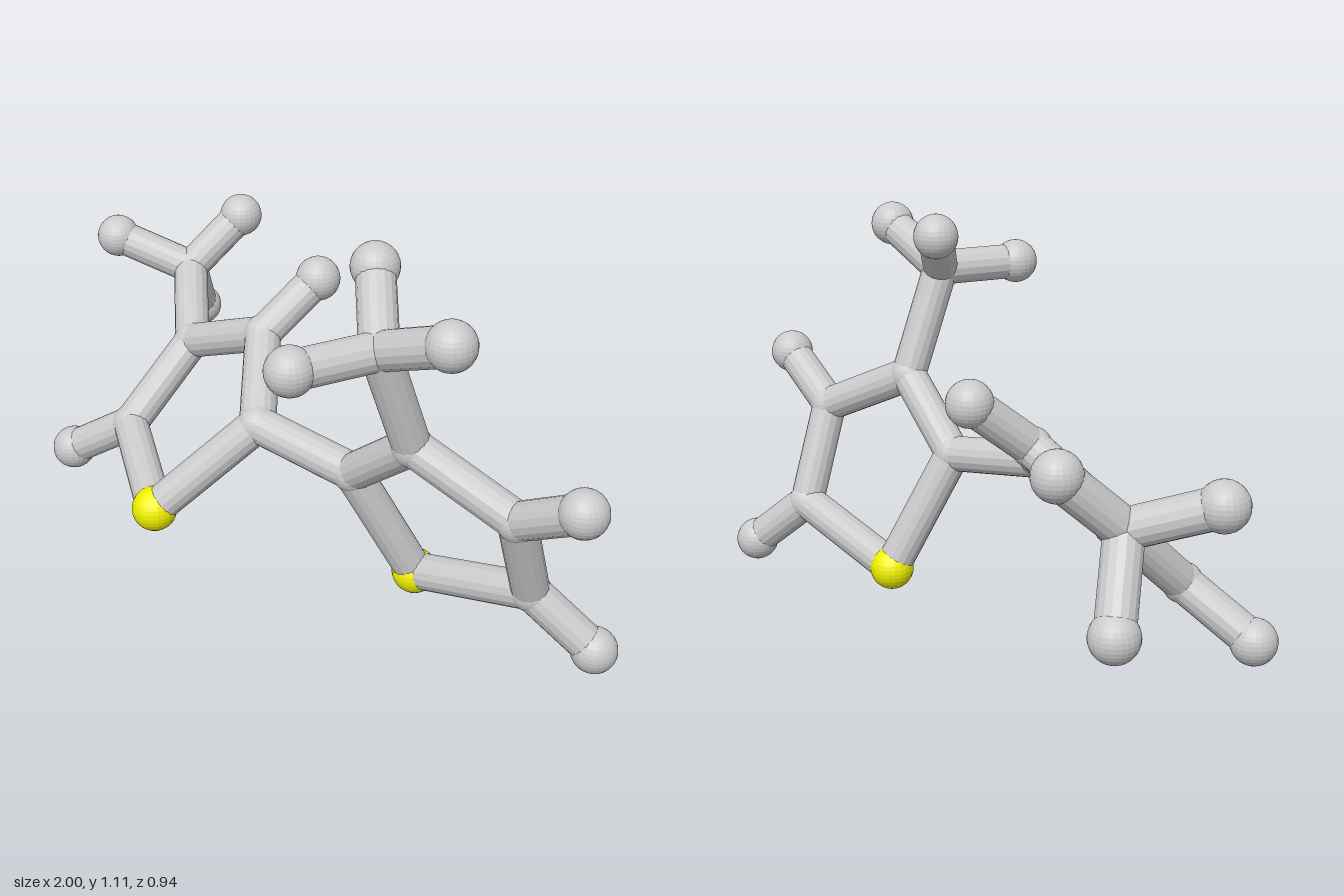
import * as THREE from 'three';

const ATOM_RADIUS = { hydrogen: 0.062, carbon: 0.054, sulfur: 0.062 };
const BOND_RADIUS = 0.05;

// Atom centres; the two rings are joined by the bond between linkA and linkB
const atoms = {
  // ring A, on the right
  linkA: ['carbon', -0.05, 0.485, 0.12],
  sulfurA: ['sulfur', -0.23, 0.235, 0.34],
  lowerA: ['carbon', -0.565, 0.285, 0.145],
  outerA: ['carbon', -0.53, 0.49, -0.07],
  upperA: ['carbon', -0.24, 0.615, -0.08],
  upperTipA: ['hydrogen', -0.185, 0.75, -0.24],
  lowerTipA: ['hydrogen', -0.745, 0.16, 0.22],
  methylA: ['carbon', -0.75, 0.59, -0.26],
  methylTipA1: ['hydrogen', -0.94, 0.67, -0.14],
  methylTipA2: ['hydrogen', -0.685, 0.735, -0.41],
  methylTipA3: ['hydrogen', -0.845, 0.39, -0.38],
  // ring B, on the left
  linkB: ['carbon', 0.245, 0.44, 0.06],
  sulfurB: ['sulfur', 0.34, 0.105, -0.09],
  lowerB: ['carbon', 0.71, 0.21, -0.12],
  outerB: ['carbon', 0.735, 0.485, -0.01],
  upperB: ['carbon', 0.465, 0.62, 0.08],
  outerTipB: ['hydrogen', 0.935, 0.605, 0],
  lowerTipB: ['hydrogen', 0.865, 0.065, -0.2],
  methylB: ['carbon', 0.45, 0.92, 0.19],
  methylTipB1: ['hydrogen', 0.31, 1.05, 0.06],
  methylTipB2: ['hydrogen', 0.67, 1.015, 0.19],
  methylTipB3: ['hydrogen', 0.375, 0.92, 0.41],
};

const bonds = [
  ['linkA', 'linkB'],
  ['outerA', 'methylA'], ['upperA', 'upperTipA'],
  ['upperB', 'methylB'], ['outerB', 'outerTipB'],
];
for (const s of ['A', 'B']) {
  const ring = ['link', 'sulfur', 'lower', 'outer', 'upper'];
  ring.forEach((name, i) => bonds.push([name + s, ring[(i + 1) % 5] + s]));
  bonds.push(['lower' + s, 'lowerTip' + s]);
  for (let i = 1; i <= 3; i++) bonds.push(['methyl' + s, 'methylTip' + s + i]);
}

export function createModel() {
  const model = new THREE.Group();
  model.name = 'molecule';
  const grey = new THREE.MeshStandardMaterial({ color: 0xcccccc, flatShading: true });
  const yellow = new THREE.MeshStandardMaterial({ color: 0xf0f000, flatShading: true });
  const centre = (key) => new THREE.Vector3(...atoms[key].slice(1));

  // Balls
  for (const [key, [kind]] of Object.entries(atoms)) {
    const ball = new THREE.Mesh(
      new THREE.SphereGeometry(ATOM_RADIUS[kind], 24, 16),
      kind === 'sulfur' ? yellow : grey,
    );
    ball.position.copy(centre(key));
    ball.name = `${kind}Atom_${key}`;
    model.add(ball);
  }

  // Sticks running from centre to centre
  const up = new THREE.Vector3(0, 1, 0);
  for (const [from, to] of bonds) {
    const a = centre(from), b = centre(to);
    const stick = new THREE.Mesh(
      new THREE.CylinderGeometry(BOND_RADIUS, BOND_RADIUS, a.distanceTo(b), 16),
      grey,
    );
    stick.position.copy(a).lerp(b, 0.5);
    stick.quaternion.setFromUnitVectors(up, b.sub(a).normalize());
    stick.name = `bond_${from}_${to}`;
    model.add(stick);
  }
  return model;
}
